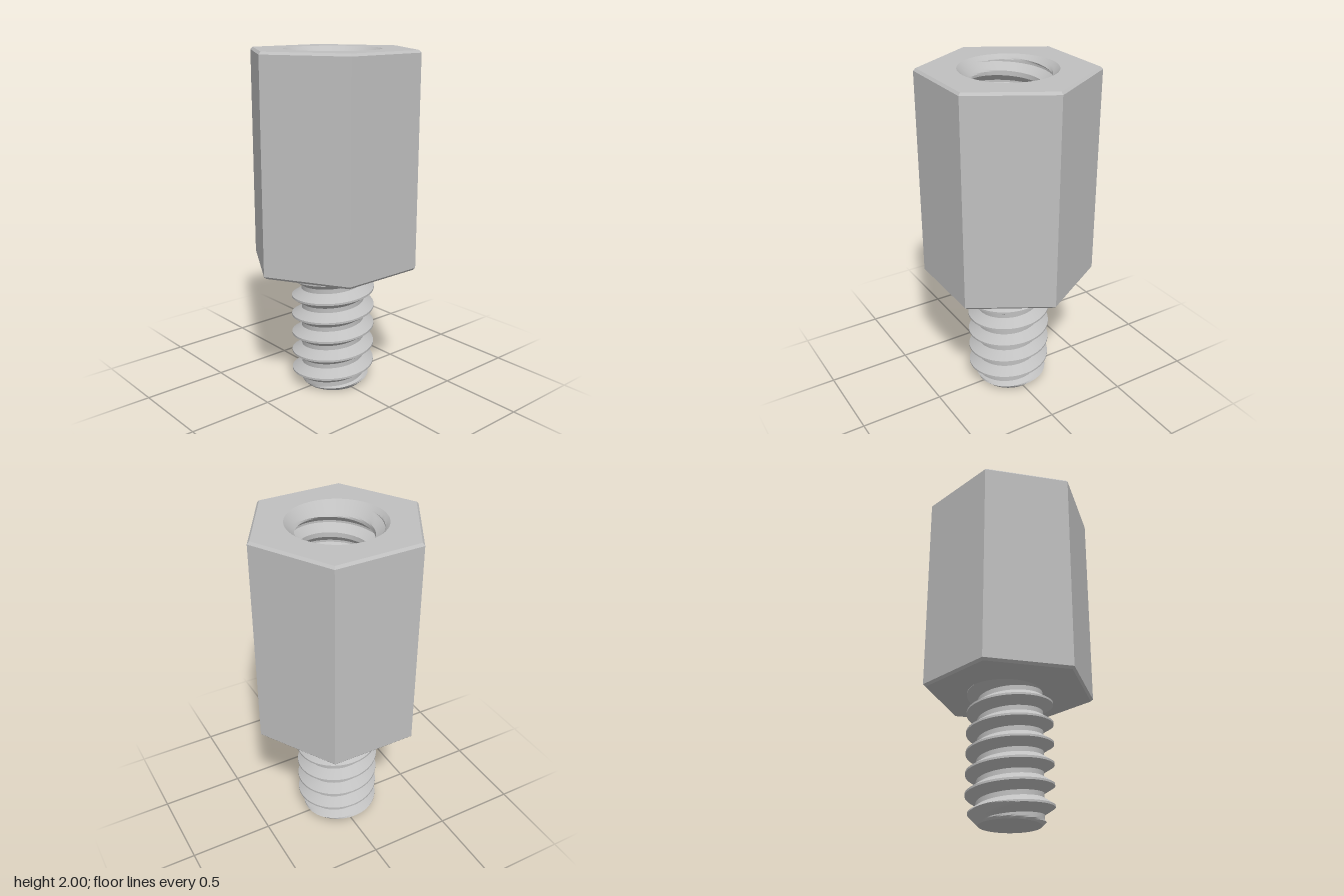
import * as THREE from 'three';
import { toCreasedNormals } from 'three/addons/utils/BufferGeometryUtils.js';

const PITCH = 0.118, CREST_Y = 0.148, SEGS = 64;
const HEX_R = 0.503, BEVEL = 0.014, BODY_Y = 0.76, TOP_Y = 2;
const STUD_TIP_R = 0.175, MOUTH_R = 0.275, FLOOR_Y = 1.1;

// Flat-topped V profile: t is the height in pitches measured from a crest
function threadRadius(t, minor, major) {
  const d = Math.abs(t - Math.round(t));
  return THREE.MathUtils.mapLinear(THREE.MathUtils.clamp(d, 0.05, 0.385), 0.05, 0.385, major, minor);
}

// Helical surface cut between y0 and y1; limit(r, y) applies the end chamfer
function threadGeometry(y0, y1, minor, major, limit, inward) {
  const rows = [];
  const first = Math.floor((y0 - CREST_Y) / PITCH) - 2;
  const last = Math.ceil((y1 - CREST_Y) / PITCH) + 1;
  const stops = [-0.05, 0.05, 0.385, 0.615, 0.95];
  for (let n = first; n <= last; n++) {
    for (let s = 0; s < 4; s++) {
      for (let k = 0; k < 4; k++) rows.push(n + stops[s] + (stops[s + 1] - stops[s]) * k / 4);
    }
  }
  const pos = [], index = [];
  for (const u of rows) {
    for (let i = 0; i <= SEGS; i++) {
      const turn = i / SEGS, a = (i % SEGS) / SEGS * Math.PI * 2;
      const y = THREE.MathUtils.clamp(CREST_Y + PITCH * (u + turn), y0, y1);
      const r = limit(threadRadius((y - CREST_Y) / PITCH - turn, minor, major), y);
      pos.push(r * Math.cos(a), y, -r * Math.sin(a));
    }
  }
  const py = (i) => pos[i * 3 + 1];
  const face = (a, b, c) => {
    if (py(a) === py(b) && py(b) === py(c)) return; // beyond the cut
    index.push(a, ...(inward ? [c, b] : [b, c]));
  };
  for (let j = 0; j < rows.length - 1; j++) {
    for (let i = 0; i < SEGS; i++) {
      const a = j * (SEGS + 1) + i, c = a + SEGS + 1;
      face(a, a + 1, c + 1);
      face(a, c + 1, c);
    }
  }
  const g = new THREE.BufferGeometry();
  g.setAttribute('position', new THREE.Float32BufferAttribute(pos, 3));
  g.setIndex(index);
  return toCreasedNormals(g, 0.5);
}

export function createModel() {
  const model = new THREE.Group();
  model.name = 'hexStandoff';
  const steel = new THREE.MeshStandardMaterial({ color: 0xc0c0c0 });
  steel.name = 'steel';
  const add = (name, geometry) => {
    const mesh = new THREE.Mesh(geometry, steel);
    mesh.name = name;
    model.add(mesh);
    return mesh;
  };

  // Hexagonal body: underside, bevels and six flats
  const profile = [
    [0, BODY_Y], [HEX_R - BEVEL, BODY_Y], [HEX_R, BODY_Y + BEVEL],
    [HEX_R, TOP_Y - BEVEL], [HEX_R - BEVEL, TOP_Y],
  ].map(([x, y]) => new THREE.Vector2(x, y));
  const hex = new THREE.LatheGeometry(profile, 6, Math.PI / 2).toNonIndexed();
  hex.computeVertexNormals();
  add('hexBody', hex);

  // Top face with the round mouth of the hole
  const top = new THREE.Shape();
  for (let i = 0; i < 6; i++) {
    const a = i * Math.PI / 3, r = HEX_R - BEVEL;
    top[i ? 'lineTo' : 'moveTo'](r * Math.cos(a), r * Math.sin(a));
  }
  top.closePath();
  top.holes.push(new THREE.Path().absarc(0, 0, MOUTH_R, 0, Math.PI * 2, true));
  add('topFace', new THREE.ShapeGeometry(top, SEGS / 2).rotateX(-Math.PI / 2).translate(0, TOP_Y, 0));

  // Threaded blind hole with a countersunk mouth
  const sink = (r, y) => Math.max(r, MOUTH_R - (TOP_Y - y));
  add('holeThread', threadGeometry(FLOOR_Y, TOP_Y, 0.204, 0.25, sink, true));
  add('holeFloor', new THREE.CircleGeometry(0.252, SEGS).rotateX(-Math.PI / 2).translate(0, FLOOR_Y, 0));

  // Threaded stud with a chamfered tip
  const chamfer = (r, y) => Math.min(r, STUD_TIP_R + y);
  add('studThread', threadGeometry(0, BODY_Y + 0.005, 0.188, 0.247, chamfer, false));
  add('studTip', new THREE.CircleGeometry(STUD_TIP_R, SEGS).rotateX(Math.PI / 2));

  return model;
}
